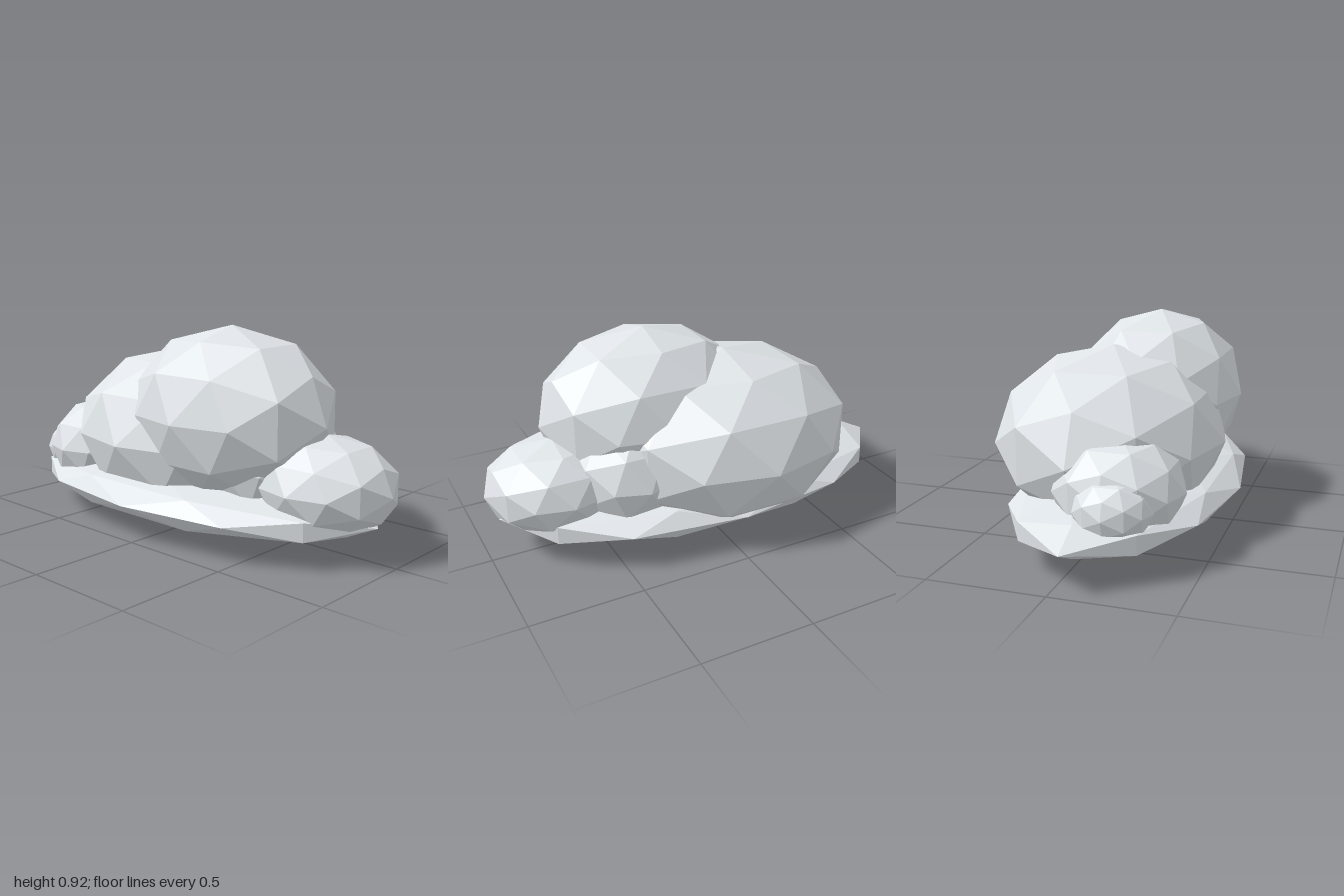
import * as THREE from 'three';

// Low-poly cloud: faceted ellipsoid puffs resting on a wide flat base
export function createModel() {
  const cloud = new THREE.Group();
  cloud.name = 'cloud';

  const cloudWhite = new THREE.MeshStandardMaterial({ color: 0xe4e9ed, flatShading: true });
  cloudWhite.name = 'cloudWhite';

  // One 80-sided ball, turned so its long edges face the sides
  const ball = new THREE.IcosahedronGeometry(1, 1).rotateY(Math.PI / 2);

  // name, centre, radii
  const puffs = [
    ['flatBase', [-0.03, 0.165, 0.05], [0.97, 0.13, 0.485]],
    ['mainPuff', [-0.12, 0.4, -0.03], [0.61, 0.4, 0.51]],
    ['tallPuff', [0.215, 0.54, 0.095], [0.5, 0.38, 0.385]],
    ['leftPuff', [0.68, 0.295, 0.04], [0.315, 0.21, 0.275]],
    ['innerPuff', [0.38, 0.34, 0], [0.28, 0.28, 0.335]],
    ['rightPuff', [-0.56, 0.3, 0.14], [0.26, 0.22, 0.28]],
    ['smallRightPuff', [-0.73, 0.265, 0.17], [0.15, 0.135, 0.165]],
  ];

  for (const [name, centre, radii] of puffs) {
    const puff = new THREE.Mesh(ball, cloudWhite);
    puff.name = name;
    puff.position.set(...centre);
    puff.scale.set(...radii);
    cloud.add(puff);
  }
  return cloud;
}
